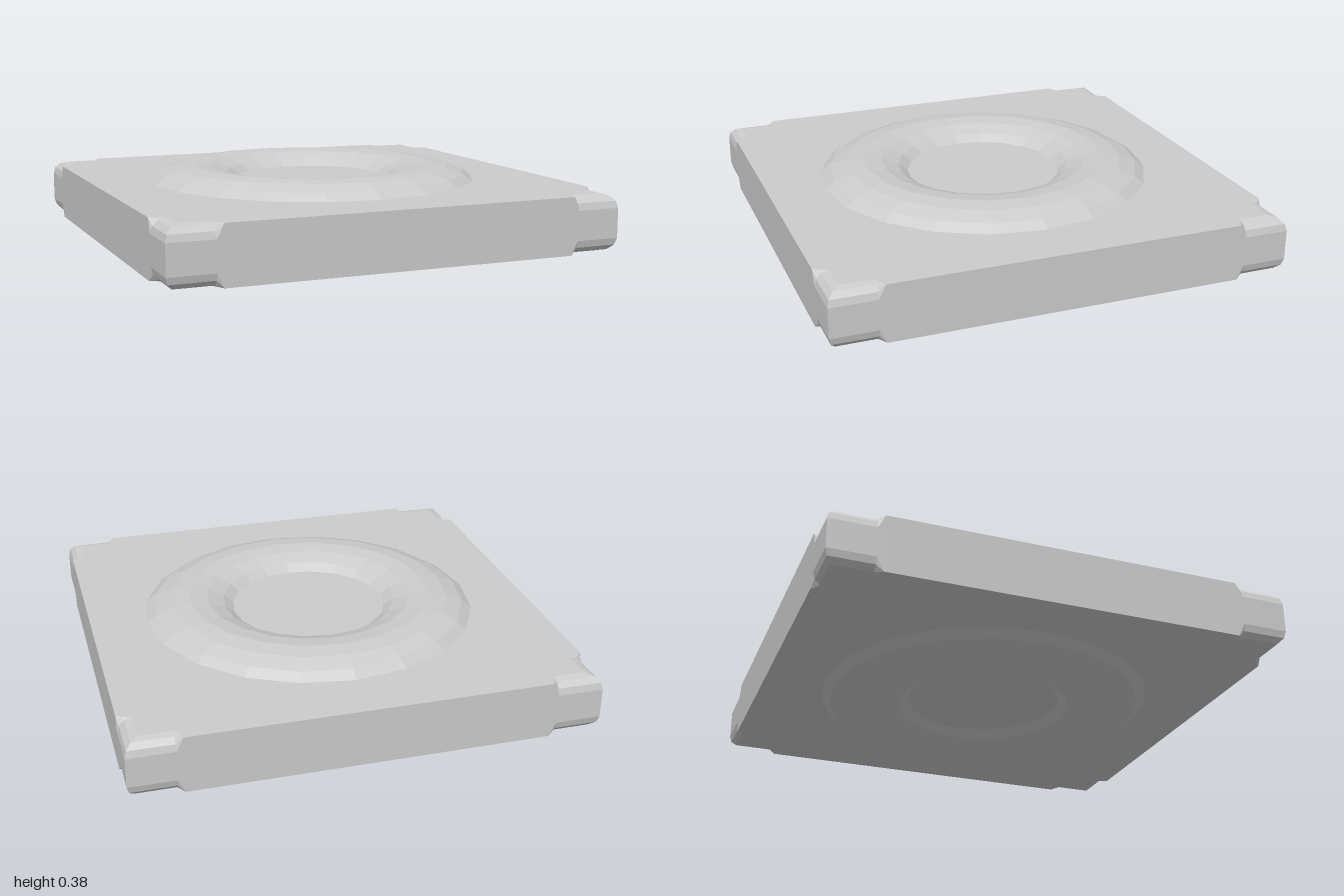
import * as THREE from 'three';

const BOTTOM = 0.067, TOP = 0.317, MID = 0.192;
const ROUND = 0.06;                // radius of the worn corner edges
const WORN = 0.8, WORN_END = 0.77; // where the rounding fades out along a side

// One outer wall (facing +z): sharp in the middle, rounded towards both corners.
function sideGeometry() {
  const steps = 3, arc = [];
  for (let i = 0; i <= steps; i++) {
    const a = (i / steps) * Math.PI / 2;
    arc.push([ROUND * (1 - Math.sin(a)), ROUND * (1 - Math.cos(a))]); // inset, drop
  }
  const upper = arc.map(([inset, drop]) => ({ inset, drop, edge: TOP, dir: -1 }));
  const lower = [...arc].reverse().map(([inset, drop]) => ({ inset, drop, edge: BOTTOM, dir: 1 }));
  const profile = [...upper, ...lower];

  const column = (sign, kind) => profile.map(({ inset, drop, edge, dir }) => {
    if (kind === 'sharp') return [sign * WORN_END, edge, 1];
    const x = kind === 'corner' ? 1 - inset : WORN;
    return [sign * x, edge + dir * drop, 1 - inset];
  });
  const columns = [
    column(-1, 'corner'), column(-1, 'worn'), column(-1, 'sharp'),
    column(1, 'sharp'), column(1, 'worn'), column(1, 'corner'),
  ];

  const positions = [];
  for (let i = 0; i < columns.length - 1; i++) {
    for (let j = 0; j < profile.length - 1; j++) {
      const a = columns[i][j], b = columns[i][j + 1];
      const c = columns[i + 1][j + 1], d = columns[i + 1][j];
      positions.push(...a, ...b, ...c, ...a, ...c, ...d);
    }
  }
  const geometry = new THREE.BufferGeometry();
  geometry.setAttribute('position', new THREE.Float32BufferAttribute(positions, 3));
  geometry.computeVertexNormals();
  return geometry;
}

// Flat face of the slab, cut back at the four corners.
function faceGeometry() {
  const inner = 1 - ROUND, points = [];
  const side = [[inner, inner], [WORN, inner], [WORN_END, 1],
    [-WORN_END, 1], [-WORN, inner]];
  for (let k = 0; k < 4; k++) {
    for (const [x, y] of side) {
      points.push(new THREE.Vector2(x, y).rotateAround(new THREE.Vector2(), k * Math.PI / 2));
    }
  }
  return new THREE.ShapeGeometry(new THREE.Shape(points));
}

export function createModel() {
  const group = new THREE.Group();
  const material = new THREE.MeshStandardMaterial({ color: 0xcccccc, flatShading: true });
  const add = (name, geometry, parent) => {
    const mesh = new THREE.Mesh(geometry, material);
    mesh.name = name;
    parent.add(mesh);
    return mesh;
  };

  // Square slab
  const slab = new THREE.Group();
  slab.name = 'slab';
  group.add(slab);
  const wall = sideGeometry();
  ['frontWall', 'leftWall', 'backWall', 'rightWall'].forEach((name, k) => {
    add(name, wall, slab).rotation.y = k * Math.PI / 2;
  });
  const face = faceGeometry();
  const topFace = add('topFace', face, slab);
  topFace.rotation.x = -Math.PI / 2;
  topFace.position.y = TOP;
  const bottomFace = add('bottomFace', face, slab);
  bottomFace.rotation.x = Math.PI / 2;
  bottomFace.position.y = BOTTOM;

  // Flattened ring standing out of both faces
  const ring = new THREE.TorusGeometry(0.55, 0.27, 20, 20);
  ring.rotateX(Math.PI / 2);
  ring.scale(1, MID / 0.27, 1);
  add('ring', ring, group).position.y = MID;

  return group;
}
